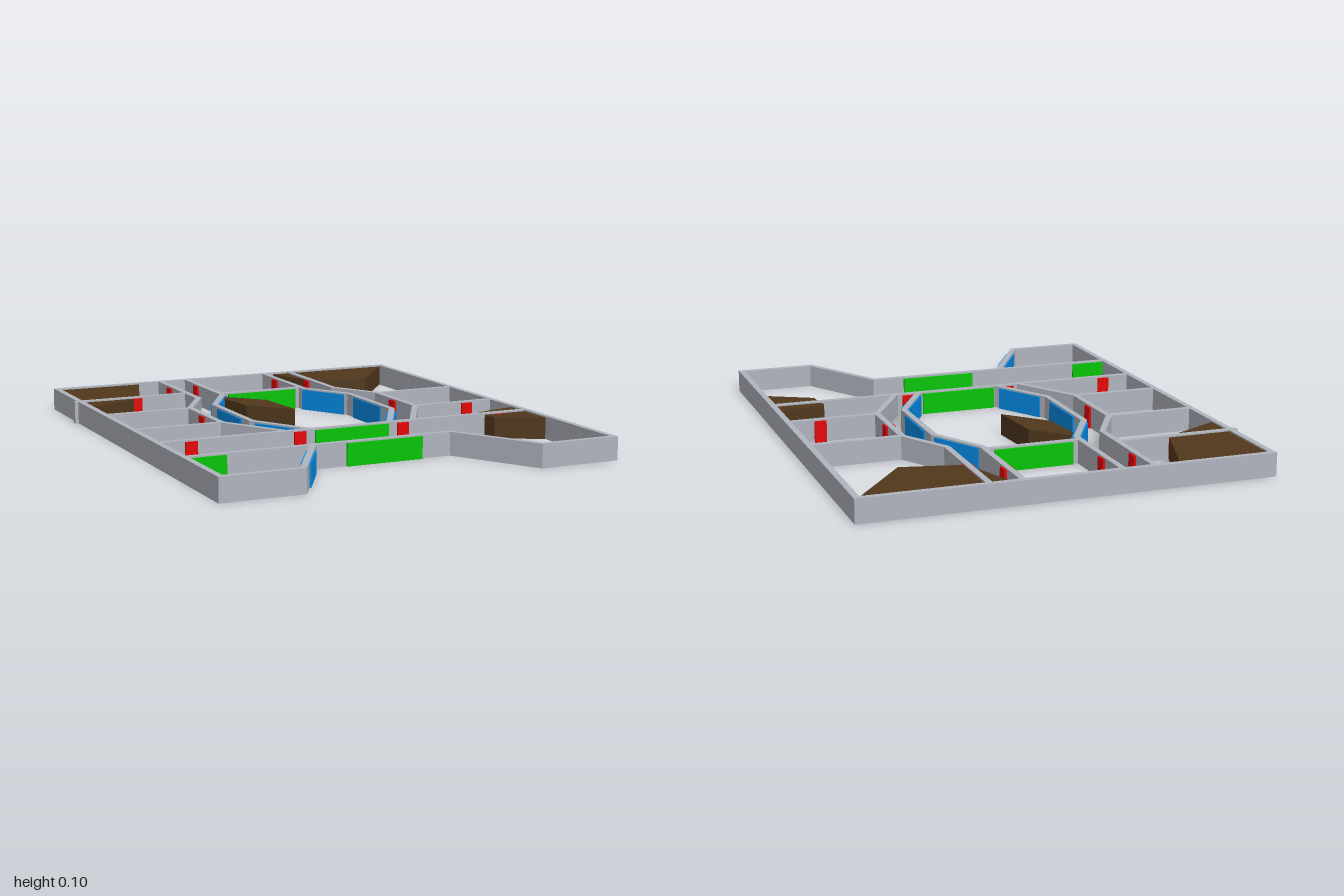
import * as THREE from 'three';

const WALL_H = 0.096, FIT_H = 0.09, THICK = 0.025;

const mat = (name, color) => {
  const m = new THREE.MeshStandardMaterial({ color });
  m.name = name;
  return m;
};

export function createModel() {
  const model = new THREE.Group();
  model.name = 'floorPlan';
  const grey = mat('wallGrey', 0xb0b4be);
  const red = mat('doorRed', 0xe40404);
  const green = mat('gateGreen', 0x04c404);
  const blue = mat('windowBlue', 0x048ae4);
  const brown = mat('rockBrown', 0x50381c);

  const add = (name, geometry, material) => {
    const mesh = new THREE.Mesh(geometry, material);
    mesh.name = name;
    model.add(mesh);
    return mesh;
  };
  const vecs = (pts) => pts.map(([x, z]) => new THREE.Vector2(x, -z));

  // Upright prism from a plan outline
  const prism = (shape, height) =>
    new THREE.ExtrudeGeometry(shape, { depth: height, bevelEnabled: false }).rotateX(-Math.PI / 2);

  // Plan path shifted to its left by d, with mitred corners
  const offset = (p, d, closed) => p.map((c, i) => {
    const n = p.length;
    const prev = closed || i > 0 ? p[(i + n - 1) % n] : null;
    const next = closed || i < n - 1 ? p[(i + 1) % n] : null;
    const a = (prev ? c.clone().sub(prev) : next.clone().sub(c)).normalize();
    const b = (next ? next.clone().sub(c) : a.clone()).normalize();
    const na = new THREE.Vector2(-a.y, a.x), nb = new THREE.Vector2(-b.y, b.x);
    const m = na.clone().add(nb).normalize();
    return c.clone().addScaledVector(m, d / m.dot(na));
  });

  // Wall along a path; closed paths run clockwise, so their left is outside
  const wall = (name, pts, closed = false) => {
    const p = vecs(pts);
    const left = offset(p, THICK / 2, closed);
    const right = offset(p, -THICK / 2, closed).reverse();
    const shape = new THREE.Shape(closed ? left : [...left, ...right]);
    if (closed) shape.holes.push(new THREE.Path(right));
    add(name, prism(shape, WALL_H), grey);
  };

  // Outer walls with the notched front
  wall('outerWall', [
    [-0.82, -0.988], [0.833, -0.988], [0.833, 0.988], [0.507, 0.988],
    [0.304, 0.632], [-0.295, 0.632], [-0.5, 0.988], [-0.82, 0.988],
  ], true);
  wall('frontRoomWall', [[-0.82, 0.632], [-0.295, 0.632]]);
  wall('crossWall', [[-0.82, 0.347], [0.833, 0.347]]);
  wall('backLeftRoomWall', [[-0.848, -0.64], [-0.325, -0.64]]);

  // Corridor and central room, mirrored about x = 0.005
  const cx = 0.005;
  for (const s of [-1, 1]) {
    const side = (pts) => pts.map(([x, z]) => [cx + s * x, z]);
    wall('corridorWall', side([[0.329, -0.988], [0.329, -0.495], [0.448, -0.287], [0.448, 0.068], [0.285, 0.347]]));
    wall('centralRoomWall', side([[0.199, -0.988], [0.199, -0.535], [0.324, -0.315], [0.324, 0.09], [0.178, 0.347]]));
    for (const z of [-0.287, 0.068]) wall('sideRoomWall', side([[0.448, z], [0.827, z]]));
  }
  wall('centralBackWall', [[-0.194, -0.568], [0.204, -0.568]]);

  // Fittings set through the walls: x, z, turn about y
  const fitting = (name, material, length, depth, x, z, turn = 0) => {
    const m = add(name, new THREE.BoxGeometry(length, FIT_H, depth), material);
    m.position.set(x, FIT_H / 2, z);
    m.rotation.y = turn;
  };
  const Q = Math.PI / 2;

  // Doors
  [[-0.324, -0.818], [-0.194, -0.82], [0.204, -0.82], [0.334, -0.746], [-0.443, -0.106], [0.452, -0.106]]
    .forEach(([x, z]) => fitting('door', red, 0.05, 0.044, x, z, Q));
  [[-0.567, -0.64], [0.7, 0.068], [-0.687, 0.347], [-0.226, 0.347], [0.236, 0.347], [0.7, 0.347]]
    .forEach(([x, z]) => fitting('door', red, 0.05, 0.044, x, z));

  // Wide gates
  for (const z of [-0.568, 0.347, 0.632]) fitting('gate', green, 0.328, 0.044, cx, z);
  fitting('sideGate', green, 0.155, 0.044, -0.735, 0.632);

  // Windows around the central room and on the front slope
  for (const s of [-1, 1]) {
    fitting('sideWindow', blue, 0.258, 0.039, cx + s * 0.324, -0.112, Q);
    fitting('backSlopeWindow', blue, 0.228, 0.039, cx + s * 0.2575, -0.431, -s * Math.PI / 3);
    fitting('frontSlopeWindow', blue, 0.228, 0.039, cx + s * 0.253, 0.215, s * Math.PI / 3);
  }
  fitting('entranceWindow', blue, 0.228, 0.039, -0.397, 0.81, Math.PI / 3);

  // Rubble slabs
  [
    [[-0.82, -0.988], [-0.428, -0.988], [-0.55, -0.634], [-0.82, -0.498]],
    [[0.243, -0.988], [0.833, -0.988], [0.587, -0.672], [0.333, -0.73]],
    [[-0.2, -0.502], [-0.06, -0.354], [-0.037, -0.098], [-0.193, -0.264], [-0.217, -0.474]],
    [[0.833, 0.249], [0.62, 0.303], [0.635, 0.425], [0.833, 0.532]],
  ].forEach((pts) => add('rubble', prism(new THREE.Shape(vecs(pts)), FIT_H), brown));

  return model;
}
